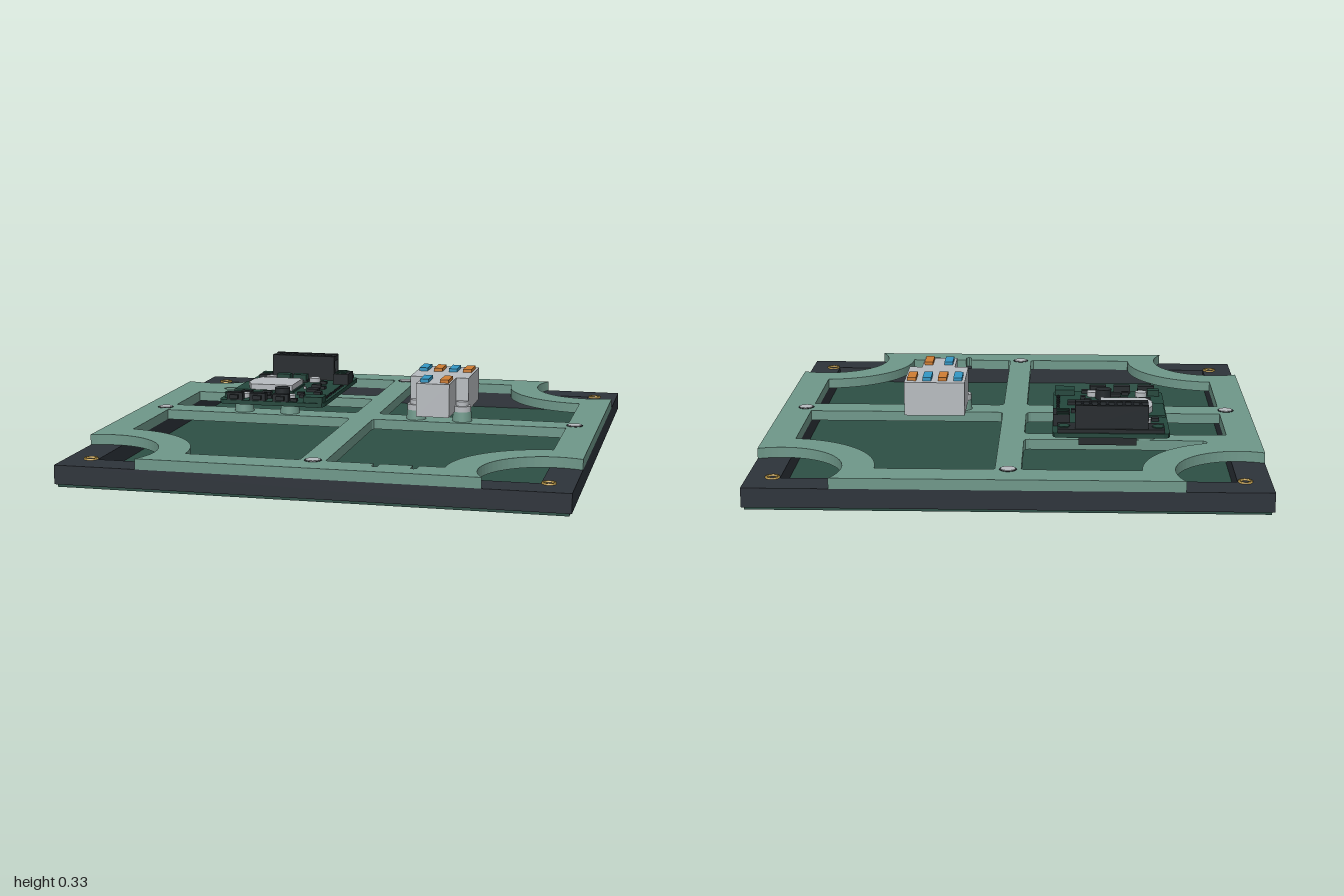
import * as THREE from 'three';

const mat = (name, color) => {
  const m = new THREE.MeshStandardMaterial({ color });
  m.name = name;
  return m;
};

export function createModel() {
  const sage = mat('sage green', 0x6f988a), floorGreen = mat('dark green', 0x2d4f45);
  const boardGreen = mat('board green', 0x23473c), slate = mat('slate', 0x2d333a);
  const black = mat('black', 0x24292c), grey = mat('light grey', 0xb8bcc0);
  const brass = mat('brass', 0xc8a450), blue = mat('blue', 0x3498c5), orange = mat('orange', 0xd07e33);

  const model = new THREE.Group();
  model.name = 'ledPanelAssembly';

  const add = (parent, name, geo, material) => {
    const m = new THREE.Mesh(geo, material);
    m.name = name;
    parent.add(m);
    return m;
  };
  // Box given by its limits on each axis
  const box = (p, name, material, x0, x1, y0, y1, z0, z1) =>
    add(p, name, new THREE.BoxGeometry(x1 - x0, y1 - y0, z1 - z0), material)
      .position.set((x0 + x1) / 2, (y0 + y1) / 2, (z0 + z1) / 2);
  const cyl = (p, name, material, x, z, y0, y1, r, r2 = r) =>
    add(p, name, new THREE.CylinderGeometry(r2, r, y1 - y0, 24), material).position.set(x, (y0 + y1) / 2, z);
  // Horizontal slab from an (x, z) outline with holes
  const slab = (p, name, material, outline, holes, y0, y1) => {
    const s = new THREE.Shape(outline.map(([x, z]) => new THREE.Vector2(x, z)));
    s.holes = holes.map(h => new THREE.Path(h.map(([x, z]) => new THREE.Vector2(x, z))));
    const g = new THREE.ExtrudeGeometry(s, { depth: y1 - y0, bevelEnabled: false });
    g.rotateX(Math.PI / 2).translate(0, y1, 0);
    return add(p, name, g, material);
  };
  const square = h => [[-h, -h], [h, -h], [h, h], [-h, h]];
  // Arc around a panel corner hole, from the z-edge side to the x-edge side
  const cornerArc = (sx, sz, r, v0, u1) => {
    const a0 = Math.asin(v0 / r), a1 = Math.acos(u1 / r);
    return Array.from({ length: 25 }, (_, i) => {
      const a = a0 + (a1 - a0) * i / 24;
      return [sx * (0.9 - r * Math.cos(a)), sz * (0.87 - r * Math.sin(a))];
    });
  };

  // Panel: circuit floor and surrounding frame
  const panel = new THREE.Group();
  panel.name = 'panel';
  model.add(panel);
  box(panel, 'panelBoard', floorGreen, -0.99, 0.99, 0, 0.02, -0.99, 0.99);
  slab(panel, 'panelFrame', slate, square(1), [square(0.87)], 0.012, 0.088);
  const ring = [[0.018, 0.07], [0.028, 0.07], [0.028, 0.094], [0.018, 0.094], [0.018, 0.07]]
    .map(([x, y]) => new THREE.Vector2(x, y));
  for (const sx of [-1, 1]) for (const sz of [-1, 1])
    add(panel, 'brassInsert', new THREE.LatheGeometry(ring, 24), brass).position.set(sx * 0.9, 0, sz * 0.867);

  // Mounting plate with scooped corners and windows
  const outline = [];
  for (const [sx, sz] of [[-1, -1], [1, -1], [1, 1], [-1, 1]]) {
    const arc = cornerArc(sx, sz, 0.265, -0.13, -0.1);
    outline.push(...(sx * sz > 0 ? arc.reverse() : arc));
  }
  const quarter = (sx, sz) => [
    ...cornerArc(sx, sz, 0.39, 0, 0.03),
    [sx * 0.87, sz * 0.06], [sx * 0.07, sz * 0.06], [sx * 0.056, sz * 0.066], [sx * 0.05, sz * 0.08],
    [sx * 0.05, sz * 0.86], [sx * 0.06, sz * 0.87],
  ];
  const notches = [0.25, 0.4].flatMap(x => [[x - 0.012, 0.87], [x - 0.012, 0.915], [x, 0.922], [x + 0.012, 0.915], [x + 0.012, 0.87]]);
  const windows = [
    quarter(1, -1), quarter(-1, 1), [...quarter(1, 1), ...notches],
    [...cornerArc(-1, -1, 0.39, 0, 0.12), [-0.785, -0.48], [-0.77, -0.467], [-0.6, -0.463],
      [-0.07, -0.463], [-0.056, -0.469], [-0.05, -0.483], [-0.05, -0.86], [-0.06, -0.87]],
    [[-0.87, -0.38], [-0.07, -0.38], [-0.056, -0.374], [-0.05, -0.36], [-0.05, -0.08],
      [-0.056, -0.066], [-0.07, -0.06], [-0.87, -0.06]],
  ];
  slab(model, 'mountingPlate', sage, outline, windows, 0.088, 0.13);
  for (const [x, z] of [[0, -0.867], [0, 0.867], [-0.9, 0], [0.9, 0]]) {
    cyl(model, 'screwSeat', black, x, z, 0.12, 0.1315, 0.034);
    cyl(model, 'plateScrew', grey, x, z, 0.12, 0.134, 0.029);
  }

  // Controller board on four standoffs
  const ctl = new THREE.Group();
  ctl.name = 'controller';
  model.add(ctl);
  const [x0, x1, z0, z1, c] = [-0.63, -0.165, -0.58, 0.078, 0.025];
  slab(ctl, 'controllerBoard', boardGreen, [[x0 + c, z0], [x1 - c, z0], [x1 - 0.007, z0 + 0.007], [x1, z0 + c], [x1, z1 - c],
    [x1 - 0.007, z1 - 0.007], [x1 - c, z1], [x0 + c, z1], [x0 + 0.007, z1 - 0.007], [x0, z1 - c], [x0, z0 + c], [x0 + 0.007, z0 + 0.007]], [], 0.172, 0.19);
  for (const x of [-0.537, -0.332]) for (const z of [-0.425, 0]) {
    cyl(ctl, 'standoff', sage, x, z, 0.13, 0.172, 0.042, 0.038);
    cyl(ctl, 'boardScrew', grey, x, z, 0.19, 0.21, 0.025);
  }
  // Radio module with tapered side
  slab(ctl, 'radioModule', grey, [[-0.55, -0.325], [-0.362, -0.325], [-0.362, -0.143], [-0.55, -0.143],
    [-0.575, -0.195], [-0.575, -0.27]], [], 0.19, 0.222);
  box(ctl, 'radioCarrier', boardGreen, -0.625, -0.355, 0.19, 0.198, -0.332, -0.136);
  // Ribbon header: hollow shell, pins and socket below
  box(ctl, 'headerBase', black, -0.61, -0.185, 0.19, 0.205, -0.573, -0.475);
  box(ctl, 'headerFrontWall', black, -0.545, -0.255, 0.2, 0.3, -0.5, -0.475);
  box(ctl, 'headerBackWall', black, -0.545, -0.255, 0.2, 0.3, -0.565, -0.551);
  box(ctl, 'headerTop', black, -0.545, -0.255, 0.277, 0.297, -0.565, -0.475);
  for (let i = 0; i < 8; i++) for (const z of [-0.542, -0.51])
    box(ctl, 'headerPin', slate, -0.52 + i * 0.033, -0.508 + i * 0.033, 0.29, 0.302, z - 0.006, z + 0.006);
  for (const x of [-0.585, -0.21]) cyl(ctl, 'headerEar', boardGreen, x, -0.527, 0.19, 0.209, 0.024);
  box(ctl, 'panelSocket', black, -0.5, -0.27, 0.131, 0.172, -0.54, -0.5);

  // Larger components
  for (const x of [-0.473, -0.397]) {
    box(ctl, 'relayBase', black, x - 0.036, x + 0.036, 0.19, 0.2, -0.442, -0.392);
    box(ctl, 'relay', boardGreen, x - 0.031, x + 0.031, 0.19, 0.225, -0.437, -0.397);
  }
  box(ctl, 'sideConnector', black, -0.235, -0.166, 0.19, 0.238, -0.478, -0.38);
  for (let i = 0; i < 4; i++) box(ctl, 'sideConnectorRib', boardGreen, -0.23, -0.18, 0.23, 0.241, -0.472 + i * 0.024, -0.462 + i * 0.024);
  cyl(ctl, 'buzzer', black, -0.377, -0.04, 0.19, 0.232, 0.033);
  for (const x of [-0.56, -0.457, -0.355]) {
    box(ctl, 'button', black, x - 0.035, x + 0.035, 0.19, 0.222, 0.04, 0.072);
    box(ctl, 'buttonTip', black, x - 0.018, x + 0.018, 0.196, 0.214, 0.07, 0.084);
  }
  box(ctl, 'cornerSocket', boardGreen, -0.255, -0.17, 0.19, 0.215, 0, 0.07);
  box(ctl, 'powerSocket', boardGreen, -0.615, -0.565, 0.19, 0.215, 0.0, 0.035);
  for (let i = 0; i < 12; i++) cyl(ctl, 'edgePin', black, -0.185, -0.34 + i * 0.029, 0.185, 0.195, 0.007);
  // Small scattered parts: centre x, centre z, width, depth
  for (const [x, z, w, d] of [[-0.29, -0.3, 0.04, 0.03], [-0.28, -0.2, 0.05, 0.05], [-0.31, -0.1, 0.03, 0.02], [-0.24, -0.13, 0.03, 0.04],
    [-0.46, -0.08, 0.04, 0.04], [-0.55, -0.08, 0.05, 0.03], [-0.43, 0.0, 0.04, 0.03], [-0.29, -0.05, 0.02, 0.03], [-0.47, 0.02, 0.03, 0.02],
    [-0.28, -0.38, 0.03, 0.02], [-0.58, -0.38, 0.03, 0.03], [-0.25, -0.26, 0.02, 0.03], [-0.4, -0.11, 0.03, 0.02], [-0.3, 0.05, 0.03, 0.02]])
    box(ctl, 'chip', black, x - w / 2, x + w / 2, 0.19, 0.203, z - d / 2, z + d / 2);
  for (const [x, z] of [[-0.405, -0.357], [-0.332, -0.25]]) cyl(ctl, 'solderPoint', grey, x, z, 0.19, 0.2, 0.006);

  // Wire terminals: a wide block behind a narrow one, with levers
  const term = new THREE.Group();
  term.name = 'terminals';
  model.add(term);
  box(term, 'wideTerminal', grey, 0.2, 0.45, 0.172, 0.312, -0.27, 0.0);
  box(term, 'narrowTerminal', grey, 0.257, 0.397, 0.172, 0.312, 0.0, 0.165);
  const lever = (x, za, zb, m) => box(term, 'lever', m, x - 0.018, x + 0.018, 0.3, 0.326, za, zb);
  [0.23, 0.294, 0.358, 0.421].forEach((x, i) => lever(x, -0.24, -0.137, i % 2 ? orange : blue));
  lever(0.286, 0.033, 0.135, blue);
  lever(0.371, 0.033, 0.135, orange);
  for (const x of [0.226, 0.424]) {
    cyl(term, 'terminalStandoff', sage, x, 0, 0.13, 0.172, 0.042, 0.038);
    cyl(term, 'terminalLug', grey, x, 0.003, 0.172, 0.196, 0.038);
    cyl(term, 'terminalScrew', grey, x, 0.003, 0.19, 0.215, 0.026);
  }
  return model;
}
